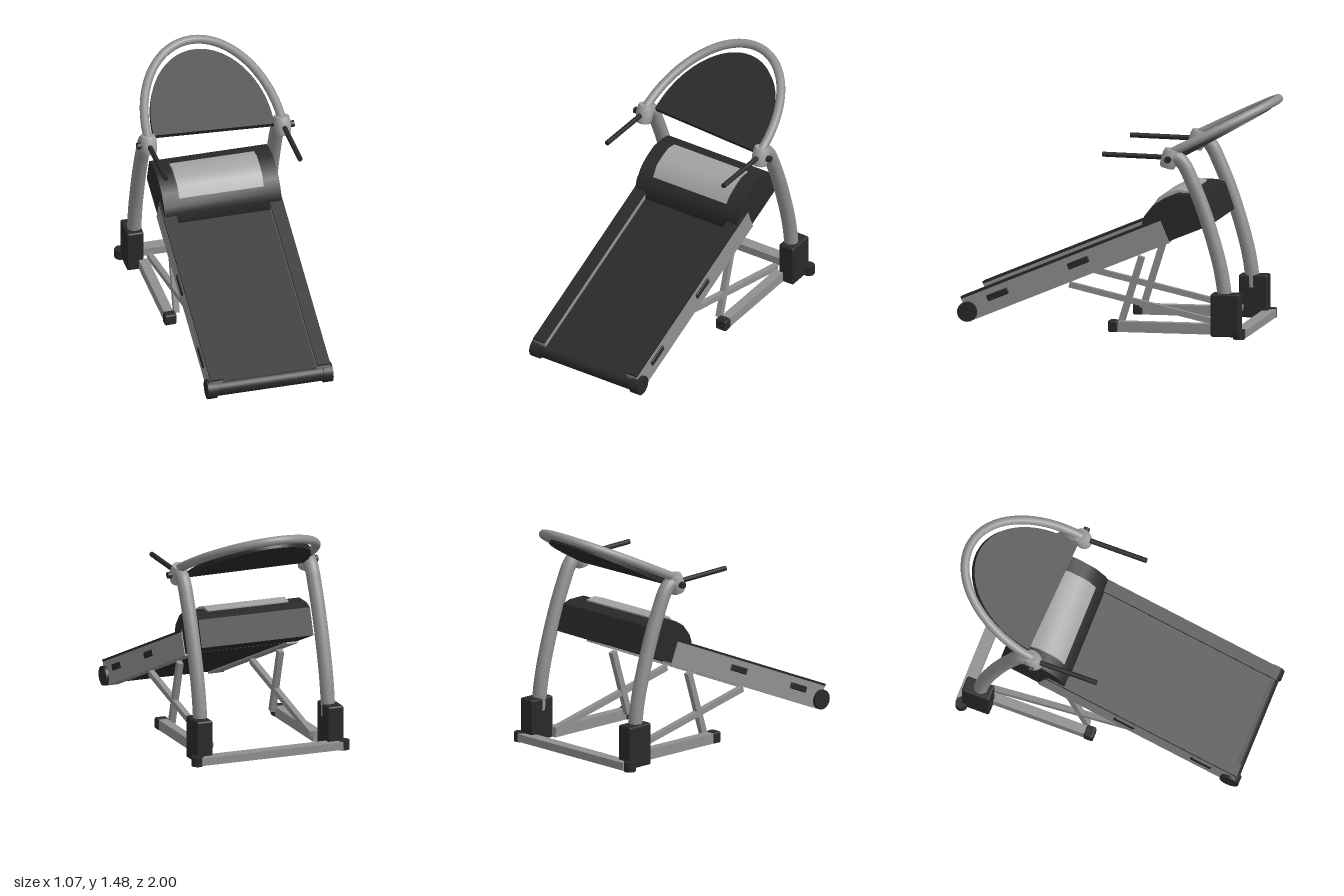
import * as THREE from 'three';
import { toCreasedNormals } from 'three/addons/utils/BufferGeometryUtils.js';
import { RoundedBoxGeometry } from 'three/addons/geometries/RoundedBoxGeometry.js';

const material = (name, color) => Object.assign(new THREE.MeshStandardMaterial({ color }), { name });

export function createModel() {
  const model = new THREE.Group();
  model.name = 'treadmill';
  const dark = material('dark plastic', 0x292929);
  const grey = material('grey metal', 0x8e9092);
  const silver = material('light silver', 0xa0a2a4);

  const add = (parent, name, geometry, mat, x = 0, y = 0, z = 0) => {
    const mesh = new THREE.Mesh(geometry, mat);
    mesh.name = name;
    mesh.position.set(x, y, z);
    parent.add(mesh);
    return mesh;
  };
  const box = (w, h, d) => new THREE.BoxGeometry(w, h, d);
  const rounded = (w, h, d, r = 0.012) => new RoundedBoxGeometry(w, h, d, 2, r);
  // cylinder lying along x
  const axle = (r, length) => new THREE.CylinderGeometry(r, r, length, 32).rotateZ(Math.PI / 2);
  // side profile of [z, y] points extruded across x, centred
  const acrossX = (points, width) => toCreasedNormals(
    new THREE.ExtrudeGeometry(new THREE.Shape(points.map(([z, y]) => new THREE.Vector2(z, y))),
      { depth: width, bevelEnabled: false })
      .rotateY(-Math.PI / 2).translate(width / 2, 0, 0), 0.62);
  // square bar between two [z, y] points
  const brace = (name, x, [z0, y0], [z1, y1], w, h) => {
    const length = Math.hypot(z1 - z0, y1 - y0);
    const mesh = add(model, name, box(w, h, length), grey, x, (y0 + y1) / 2, (z0 + z1) / 2);
    mesh.rotation.x = -Math.atan2(y1 - y0, z1 - z0);
  };

  // Inclined running deck, pivoting at the front roller; it runs along local -z
  const deck = new THREE.Group();
  deck.name = 'deck';
  deck.position.set(0, 0.11, 0.936);
  deck.rotation.x = 0.395;
  model.add(deck);
  add(deck, 'belt', box(0.62, 0.1, 1.34), dark, 0, 0, -0.67);
  add(deck, 'frontRoller', axle(0.051, 0.72), dark);
  for (const s of [1, -1]) {
    add(deck, 'sideRail', box(0.08, 0.153, 1.383), grey, s * 0.346, 0.013, -0.684);
    add(deck, 'footStrip', box(0.084, 0.014, 1.383), dark, s * 0.346, 0.095, -0.684);
    add(deck, 'rollerCap', axle(0.063, 0.06), dark, s * 0.376, 0, 0);
    for (const u of [0.222, 0.782]) {
      add(deck, 'railPad', rounded(0.02, 0.04, 0.145, 0.006), dark, s * 0.386, 0.031, -u);
    }
  }

  // Motor hood with a raised light panel
  add(model, 'motorHood', acrossX([
    [-0.2, 0.56], [-0.18, 0.63], [-0.18, 0.7], [-0.195, 0.745], [-0.25, 0.815], [-0.31, 0.852],
    [-0.39, 0.886], [-0.51, 0.885], [-0.562, 0.868], [-0.62, 0.7], [-0.36, 0.593],
  ], 0.76), dark);
  add(model, 'hoodPanel', acrossX([
    [-0.235, 0.765], [-0.22, 0.785], [-0.264, 0.85], [-0.325, 0.881], [-0.395, 0.904], [-0.465, 0.894],
    [-0.465, 0.87], [-0.36, 0.86],
  ], 0.55), silver);

  // Base frame, uprights and handles, mirrored
  add(model, 'rearCrossbar', box(0.96, 0.05, 0.078), grey, 0, 0.031, -0.83);
  const uprightPath = new THREE.CatmullRomCurve3([
    [0.2, -0.725], [0.3, -0.718], [0.45, -0.692], [0.65, -0.637], [0.85, -0.569], [1.0, -0.506],
    [1.08, -0.467], [1.125, -0.425], [1.13, -0.365],
  ].map(([y, z]) => new THREE.Vector3(0, y, z)));
  const barrel = new THREE.LatheGeometry(
    [[0, -0.06], [0.045, -0.06], [0.052, -0.035], [0.054, 0], [0.052, 0.035], [0.045, 0.06], [0, 0.06]]
      .map(([r, y]) => new THREE.Vector2(r, y)), 32);
  const hubGeometry = toCreasedNormals(barrel, 0.7);

  for (const s of [1, -1]) {
    add(model, 'upright', new THREE.TubeGeometry(uprightPath, 48, 0.045, 24), grey, s * 0.435);
    add(model, 'uprightBoot', rounded(0.108, 0.272, 0.185), dark, s * 0.446, 0.145, -0.735);
    add(model, 'rearFoot', new THREE.CylinderGeometry(0.038, 0.038, 0.06, 24), dark, s * 0.497, 0.03, -0.828);
    add(model, 'baseBar', box(0.06, 0.066, 0.64), grey, s * 0.395, 0.046, -0.33);
    add(model, 'frontFoot', rounded(0.078, 0.074, 0.062), dark, s * 0.395, 0.048, -0.002);
    brace('shortBrace', s * 0.342, [-0.172, 0.485], [-0.04, 0.06], 0.036, 0.04);
    brace('longBrace', s * 0.345, [0.29, 0.295], [-0.68, 0.075], 0.036, 0.036);

    const hub = add(model, 'handleHub', hubGeometry, silver, s * 0.435, 1.125, -0.37);
    hub.rotation.x = -0.28;
    add(model, 'hubKnob', axle(0.021, 0.06), dark, s * 0.48, 1.124, -0.37);
    const rod = add(model, 'handGrip', new THREE.CylinderGeometry(0.016, 0.016, 0.42, 20).rotateX(Math.PI / 2),
      dark, s * 0.437, 1.136, -0.15);
    rod.rotation.x = -0.02;
  }

  // Tilted arch
  const archPoints = [];
  for (let i = 0; i <= 24; i++) {
    const a = Math.PI * i / 24;
    archPoints.push(new THREE.Vector3(0.435 * Math.cos(a), 0, -0.672 * Math.sin(a)));
  }
  const arch = add(model, 'archBar',
    new THREE.TubeGeometry(new THREE.CatmullRomCurve3(archPoints), 80, 0.028, 20), grey, 0, 1.158, -0.37);
  arch.rotation.x = 0.458;

  // Console board beneath the arch, a little steeper, with a slanted lower edge
  const board = new THREE.Shape();
  board.moveTo(-0.388, 0.038);
  board.lineTo(0.388, 0);
  board.lineTo(0.388, 0.05);
  board.absellipse(0, 0.05, 0.388, 0.55, 0, Math.PI, false, 0);
  board.closePath();
  const boardGeometry = new THREE.ExtrudeGeometry(board, { depth: 0.036, bevelEnabled: false, curveSegments: 40 })
    .rotateX(-Math.PI / 2);
  const console = add(model, 'consoleBoard', toCreasedNormals(boardGeometry, 0.5), dark, 0, 1.104, -0.4);
  console.rotation.x = 0.5;

  return model;
}
